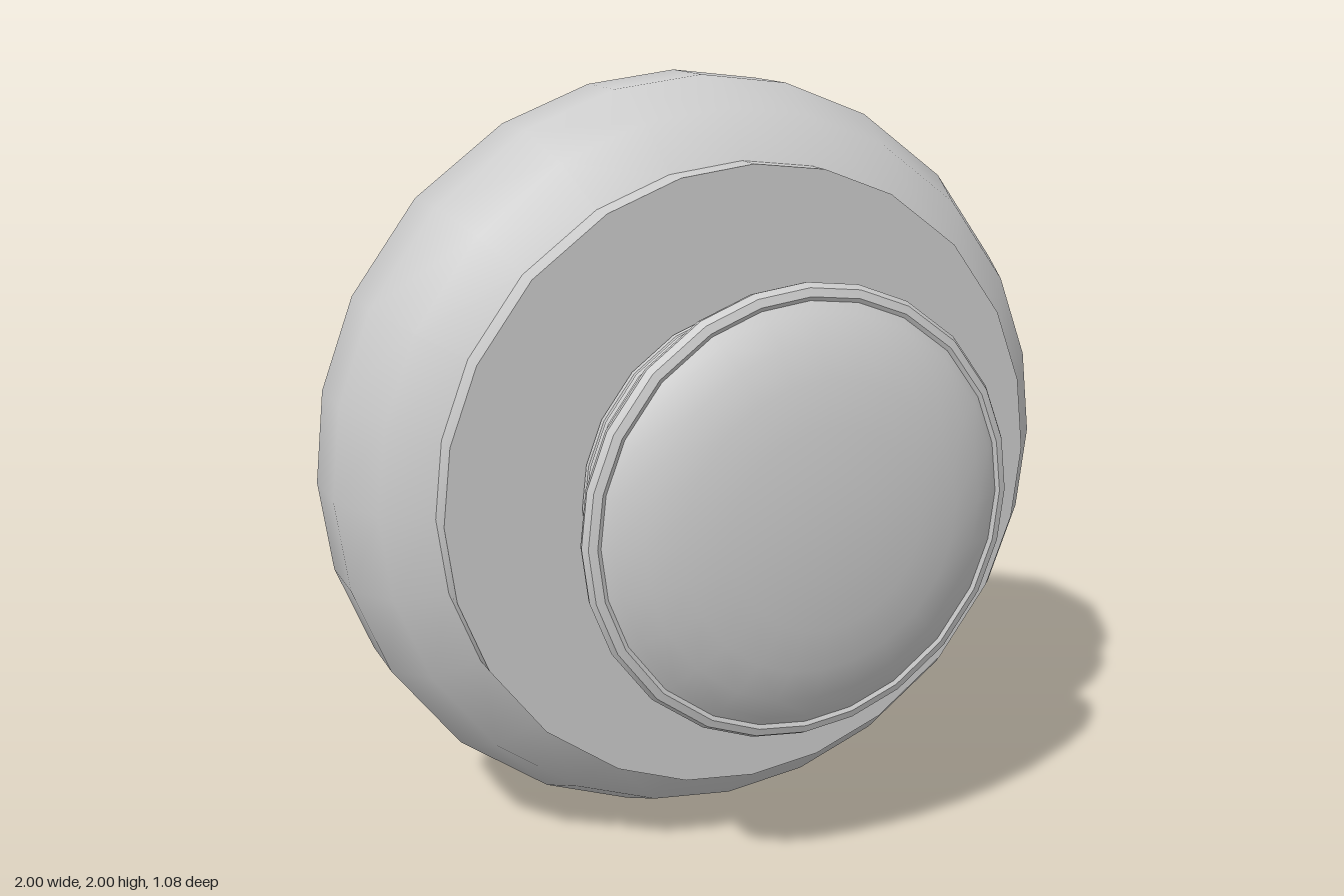
import * as THREE from 'three';
import { toCreasedNormals } from 'three/addons/utils/BufferGeometryUtils.js';

const material = new THREE.MeshStandardMaterial({ color: 0xcccccc, side: THREE.DoubleSide });

// The 24 sides are slightly uneven: angles in degrees within each quarter turn
const QUARTER = [0, 13.8, 28.2, 45, 61.8, 76.2];

// Turn a [z, radius] profile (back to front) around the z axis
function turned(name, profile, crease = 0.65) {
  const points = profile.map(([z, r]) => new THREE.Vector2(r, z));
  const geo = new THREE.LatheGeometry(points, 24);
  const pos = geo.attributes.position;
  for (let i = 0; i < pos.count; i++) {
    const step = Math.floor(i / points.length) % 24;
    const r = points[i % points.length].x;
    const a = THREE.MathUtils.degToRad(Math.floor(step / 6) * 90 + QUARTER[step % 6]);
    pos.setX(i, r * Math.sin(a));
    pos.setZ(i, r * Math.cos(a));
  }
  geo.rotateX(Math.PI / 2);
  const mesh = new THREE.Mesh(toCreasedNormals(geo, crease), material);
  mesh.name = name;
  mesh.position.y = 1;
  return mesh;
}

export function createModel() {
  const group = new THREE.Group();
  group.name = 'roundKnob';

  group.add(
    // Hollow rounded housing, open at the back
    turned('housing', [[-0.54, 0.9], [-0.37, 1], [-0.19, 1], [-0.03, 0.93], [0.05, 0.81]]),

    // Stepped front plate with a central hole
    turned('frontPlate', [[0.05, 0.81], [0.12, 0.81], [0.12, 0.75], [0.12, 0.45]]),

    // Beaded collar around the neck
    turned('collar', [
      [0.12, 0.45], [0.125, 0.465], [0.14, 0.465], [0.147, 0.45], [0.155, 0.467],
      [0.17, 0.465], [0.183, 0.45], [0.183, 0.4], [0.178, 0.33],
    ]),

    // Hollow neck, reaching back through the collar and flaring under the cap
    turned('neck', [[0.11, 0.33], [0.285, 0.33], [0.32, 0.35], [0.365, 0.355]]),

    // Cap with a rolled rim and a shallow dome
    turned('cap', [
      [0.365, 0.35], [0.365, 0.55], [0.38, 0.565], [0.4, 0.57], [0.418, 0.56],
      [0.425, 0.54], [0.42, 0.53], [0.44, 0.505], [0.475, 0.445], [0.505, 0.36],
      [0.525, 0.25], [0.537, 0.13], [0.54, 0],
    ]),
  );
  return group;
}
